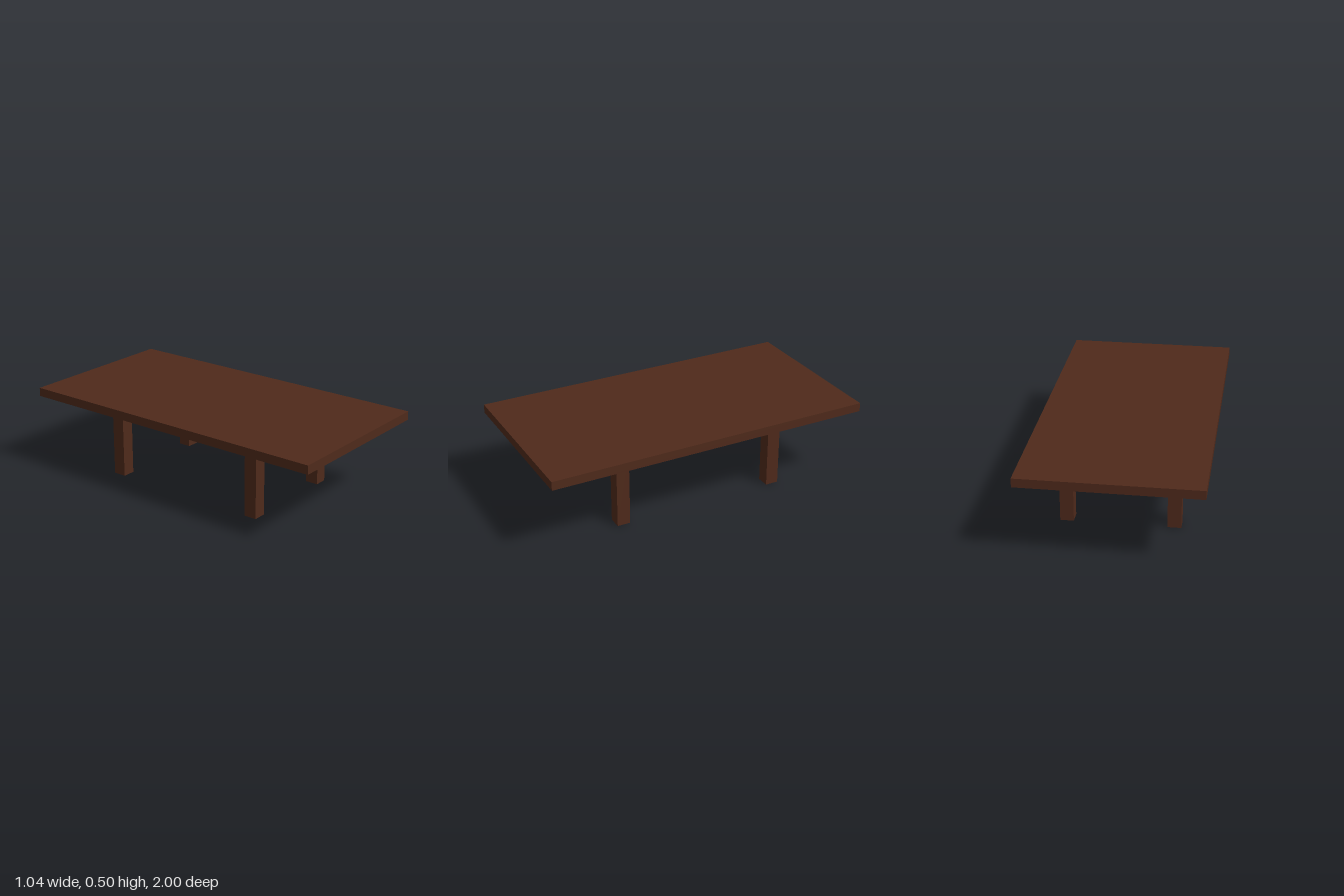
import * as THREE from 'three';

const TOP_Y = 0.505, UNDERSIDE_Y = 0.452;
const WIDTH = 1.04, LENGTH = 2;
const LEG = 0.08, LEG_X = 0.313, LEG_Z = 0.503;

export function createModel() {
  const table = new THREE.Group();
  table.name = 'table';
  const wood = new THREE.MeshStandardMaterial({ color: 0x4f2a1b });

  // Flat slab top
  const slab = TOP_Y - UNDERSIDE_Y;
  const tableTop = new THREE.Mesh(new THREE.BoxGeometry(WIDTH, slab, LENGTH), wood);
  tableTop.name = 'tableTop';
  tableTop.position.y = UNDERSIDE_Y + slab / 2;
  table.add(tableTop);

  // Four square legs, set well in from the edges
  const legGeometry = new THREE.BoxGeometry(LEG, UNDERSIDE_Y, LEG);
  for (const [end, z] of [['front', LEG_Z], ['back', -LEG_Z]]) {
    for (const [side, x] of [['Left', LEG_X], ['Right', -LEG_X]]) {
      const leg = new THREE.Mesh(legGeometry, wood);
      leg.name = `${end}${side}Leg`;
      leg.position.set(x, UNDERSIDE_Y / 2, z);
      table.add(leg);
    }
  }
  return table;
}
